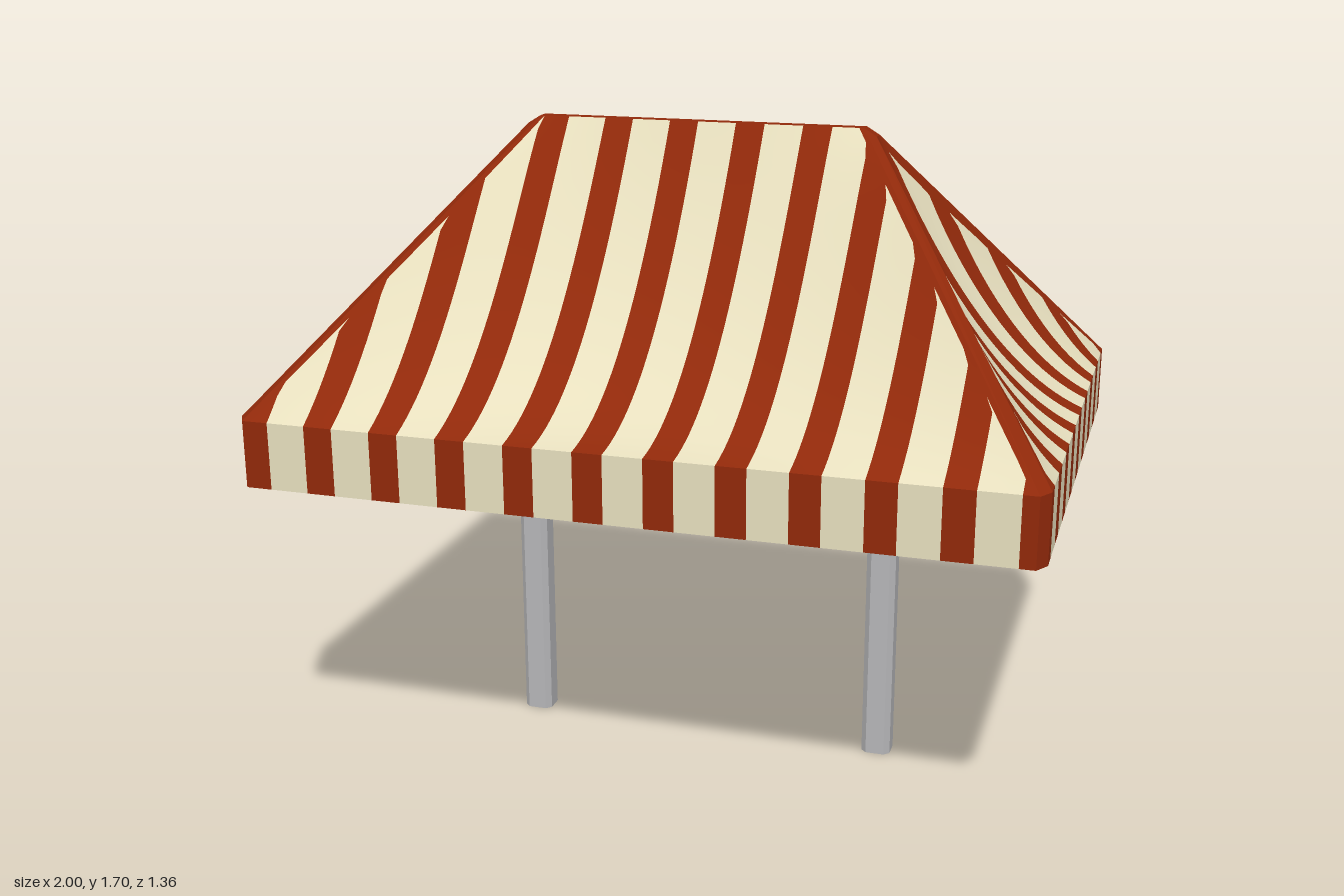
import * as THREE from 'three';
import { mergeVertices } from 'three/addons/utils/BufferGeometryUtils.js';

const EAVE = 1.011, HEM = 0.838, RIDGE = 1.7, PEAK = 1.68; // heights
const HX = 1, HZ = 0.682;        // outer half width and depth
const CX = 0.978, CZ = 0.645;    // where the corner chamfers begin
const RX = 0.43, PX = 0.463, RZ = 0.018; // ridge ends and half thickness
const lerp = THREE.MathUtils.lerp;
const clamp = THREE.MathUtils.clamp;

// Start and end of every red stripe, as one ascending list
function stripes(first, pitch, width, count) {
  const edges = [];
  for (let i = 0; i < count; i++) edges.push(first + pitch * i, first + pitch * i + width);
  return edges;
}
const LONG = stripes(-0.985, 0.175, 0.075, 12);
const SHORT = stripes(-0.666, 0.158, 0.068, 9);

// Striped cloth: columns follow the stripes, clipped to half(t) on each row, with a red border
function cloth({ edges, rows, slant, border, half, point, flip, materials }) {
  const SUB = 3, positions = [], index = [], geo = new THREE.BufferGeometry();
  const inner = (t) => Math.max(half(t) - border, 0);
  const lines = edges.map((e) => (t) => clamp(e + slant * t, -inner(t), inner(t)));
  const columns = lines.slice(1).map((line, i) => [lines[i], line, i % 2]);
  columns.push([(t) => -half(t), (t) => -inner(t), 0], [inner, half, 0]);

  const at = (i) => new THREE.Vector3().fromArray(positions, i * 3);
  const face = (i, j, k) => {
    if (new THREE.Triangle(at(i), at(j), at(k)).getArea() < 1e-8) return;
    index.push(...(flip ? [i, k, j] : [i, j, k]));
  };
  for (const [left, right, colour] of columns) {
    const base = positions.length / 3, start = index.length;
    for (let r = 0; r <= rows; r++) {
      const t = r / rows;
      for (let s = 0; s <= SUB; s++) positions.push(...point(lerp(left(t), right(t), s / SUB), t));
    }
    for (let r = 0; r < rows; r++) for (let s = 0; s < SUB; s++) {
      const p = base + r * (SUB + 1) + s, q = p + SUB + 1;
      face(p, p + 1, q + 1);
      face(p, q + 1, q);
    }
    geo.addGroup(start, index.length - start, colour);
  }
  geo.setAttribute('position', new THREE.Float32BufferAttribute(positions, 3));
  geo.setIndex(index);
  const merged = mergeVertices(geo, 1e-5);
  merged.computeVertexNormals();
  return new THREE.Mesh(merged, materials);
}

// Flat four-cornered strip
function quad(a, b, c, d, material) {
  const geo = new THREE.BufferGeometry();
  geo.setAttribute('position', new THREE.Float32BufferAttribute([...a, ...b, ...c, ...a, ...c, ...d], 3));
  geo.computeVertexNormals();
  return new THREE.Mesh(geo, material);
}

// Open square tube with bevelled edges
function tube(hx, hz, bevel, height) {
  const geo = new THREE.CylinderGeometry(1, 1, height, 8, 1, true).rotateY(Math.PI / 8);
  const p = geo.attributes.position;
  const axis = (v, h) => Math.sign(v) * (Math.abs(v) > 0.7 ? h : h - bevel);
  for (let i = 0; i < p.count; i++) {
    p.setXYZ(i, axis(p.getX(i), hx), p.getY(i) + height / 2, axis(p.getZ(i), hz));
  }
  return geo;
}

export function createModel() {
  const model = new THREE.Group();
  model.name = 'marketCanopy';

  const red = new THREE.MeshStandardMaterial({ color: 0x91290a, side: THREE.DoubleSide });
  red.name = 'rustRed';
  const cream = new THREE.MeshStandardMaterial({ color: 0xe8e0bf, side: THREE.DoubleSide });
  cream.name = 'cream';
  const grey = new THREE.MeshStandardMaterial({ color: 0xb6b6b8, side: THREE.DoubleSide, flatShading: true });
  grey.name = 'poleGrey';
  const materials = [red, cream];

  const add = (mesh, name) => {
    mesh.name = name;
    model.add(mesh);
  };

  // Cloth hangs in a curve between the straight hips
  const sag = (depth, u, w, t) => depth * 4 * t * (1 - t) * (1 - (u / w) ** 2);
  const longHalf = (t) => lerp(CX, RX, t);
  const shortHalf = (t) => lerp(CZ, RZ, t);

  for (const k of [1, -1]) {
    const face = k > 0 ? 'front' : 'back';
    const side = k > 0 ? 'left' : 'right';
    const long = { edges: LONG, flip: k < 0, materials };
    const short = { edges: SHORT, flip: k > 0, materials };

    // Sloping roof panels
    add(cloth({
      ...long, rows: 24, slant: 0.035, border: 0.012, half: longHalf,
      point: (u, t) => [u, lerp(EAVE, RIDGE, t) - sag(0.145, u, longHalf(t), t), k * lerp(HZ, RZ, t)],
    }), face + 'RoofPanel');
    add(cloth({
      ...short, rows: 24, slant: 0, border: 0.022, half: shortHalf,
      point: (u, t) => [k * lerp(HX, PX, t), lerp(EAVE, PEAK, t) - sag(0.115, u, shortHalf(t), t), u],
    }), side + 'RoofPanel');

    // Hanging valances
    add(cloth({
      ...long, rows: 1, slant: 0, border: 0, half: () => CX,
      point: (u, t) => [u, lerp(HEM, EAVE, t), k * HZ],
    }), face + 'Valance');
    add(cloth({
      ...short, rows: 1, slant: 0, border: 0, half: () => CZ,
      point: (u, t) => [k * HX, lerp(HEM, EAVE, t), u],
    }), side + 'Valance');

    // Small bevel at the ridge end
    const cap = [[k * RX, RIDGE, k * RZ], [k * PX, PEAK, k * RZ], [k * PX, PEAK, -k * RZ], [k * RX, RIDGE, -k * RZ]];
    add(quad(...cap, red), side + 'RidgeEnd');

    // Hip bands and valance corners
    for (const m of [1, -1]) {
      const hip = [[k * CX, EAVE, m * HZ], [k * HX, EAVE, m * CZ], [k * PX, PEAK, m * RZ], [k * RX, RIDGE, m * RZ]];
      const corner = [[k * CX, HEM, m * HZ], [k * HX, HEM, m * CZ], [k * HX, EAVE, m * CZ], [k * CX, EAVE, m * HZ]];
      if (k * m < 0) {
        hip.reverse();
        corner.reverse();
      }
      const where = (m > 0 ? 'front' : 'back') + (k > 0 ? 'Left' : 'Right');
      add(quad(...hip, red), where + 'HipBand');
      add(quad(...corner, red), where + 'ValanceCorner');
    }
  }

  // Ridge band
  add(quad([-RX, RIDGE, RZ], [RX, RIDGE, RZ], [RX, RIDGE, -RZ], [-RX, RIDGE, -RZ], red), 'ridgeBand');

  // Tubular poles
  const poleGeo = tube(0.039, 0.037, 0.014, 1.48);
  for (const [x, name] of [[0.51, 'leftPole'], [-0.48, 'rightPole']]) {
    const pole = new THREE.Mesh(poleGeo, grey);
    pole.position.x = x;
    add(pole, name);
  }

  return model;
}
